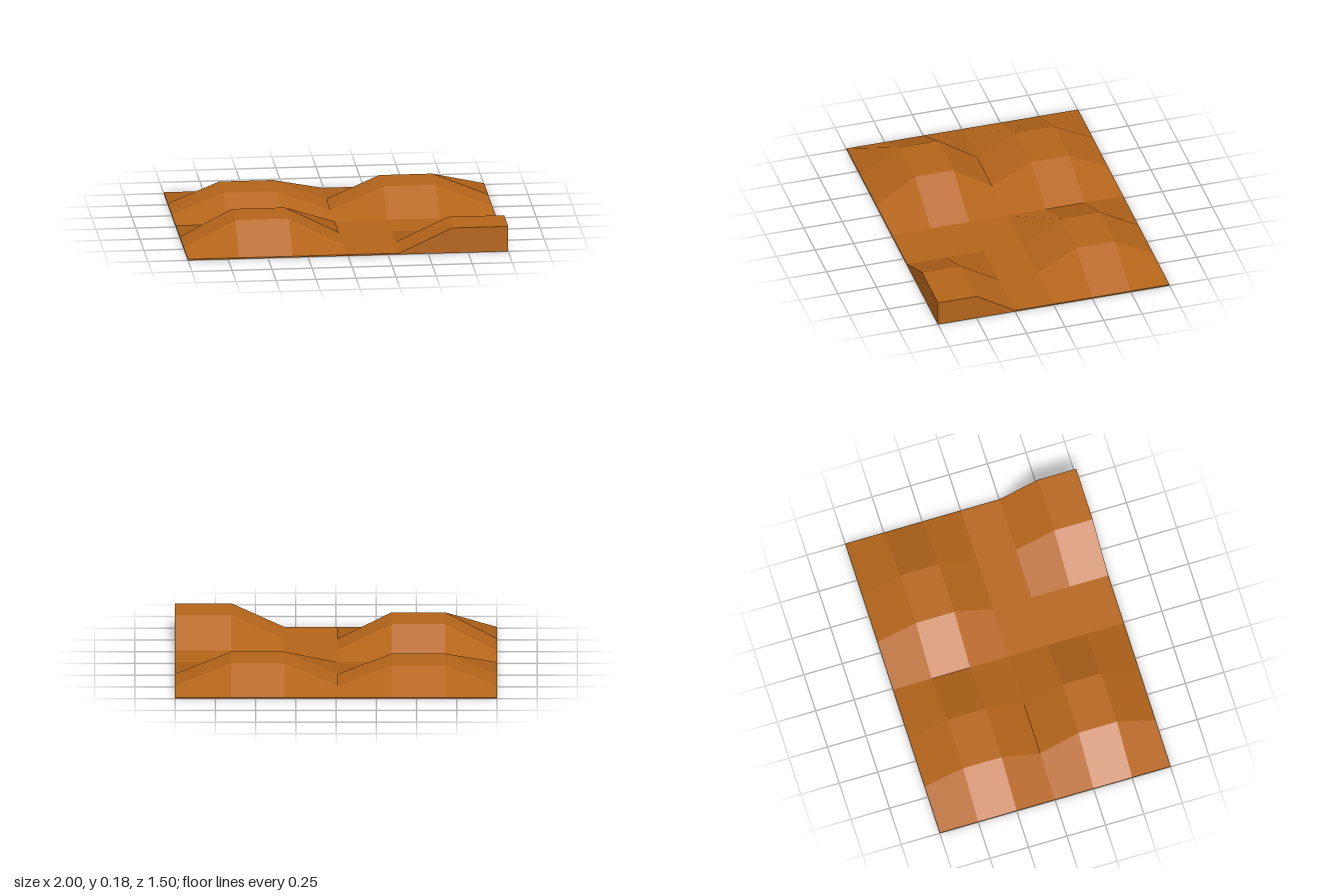
import * as THREE from 'three';

// Grid columns along x; rows along z are evenly spaced
const COLUMNS = [-1, -0.68, -0.345, -0.01, 0.32, 0.65, 1];
const DEPTH = 1.5, CELLS = 6, BASE = 0.008;

// Flat-topped mounds: raised grid columns, raised grid rows, height
const MOUNDS = [
  { cols: [1, 2], rows: [1, 2], height: 0.14 },  // back, -x side
  { cols: [4, 5], rows: [1, 2], height: 0.153 }, // back, +x side
  { cols: [1, 2], rows: [4, 5], height: 0.179 }, // front, -x side
  { cols: [5, 6], rows: [5, 6], height: 0.162 }, // front corner, cut by the border
];

function heightAt(col, row) {
  const mound = MOUNDS.find(m => m.cols.includes(col) && m.rows.includes(row));
  return mound ? mound.height : BASE;
}

// One flat normal per grid cell, taken from the cell's two diagonals
function flattenCells(geometry) {
  const pos = geometry.attributes.position, normal = geometry.attributes.normal;
  const point = i => new THREE.Vector3().fromBufferAttribute(pos, i);
  for (let i = 0; i < pos.count; i += 6) {
    const a = point(i), b = point(i + 1), d = point(i + 2), c = point(i + 4);
    const n = c.sub(a).cross(d.sub(b)).normalize();
    for (let k = 0; k < 6; k++) normal.setXYZ(i + k, n.x, n.y, n.z);
  }
}

export function createModel() {
  const group = new THREE.Group();
  group.name = 'terrainTile';

  // Thin slab whose upper grid points are lifted into mounds
  const slab = new THREE.BoxGeometry(CELLS, 1, CELLS, CELLS, 1, CELLS);
  const pos = slab.attributes.position;
  for (let i = 0; i < pos.count; i++) {
    const col = Math.round(pos.getX(i) + CELLS / 2);
    const row = Math.round(pos.getZ(i) + CELLS / 2);
    const y = pos.getY(i) > 0 ? heightAt(col, row) : 0;
    pos.setXYZ(i, COLUMNS[col], y, (row / CELLS - 0.5) * DEPTH);
  }
  const geometry = slab.toNonIndexed();
  flattenCells(geometry);

  const ground = new THREE.Mesh(geometry, new THREE.MeshStandardMaterial({ color: 0xb5651a }));
  ground.name = 'moundedGround';
  group.add(ground);
  return group;
}
